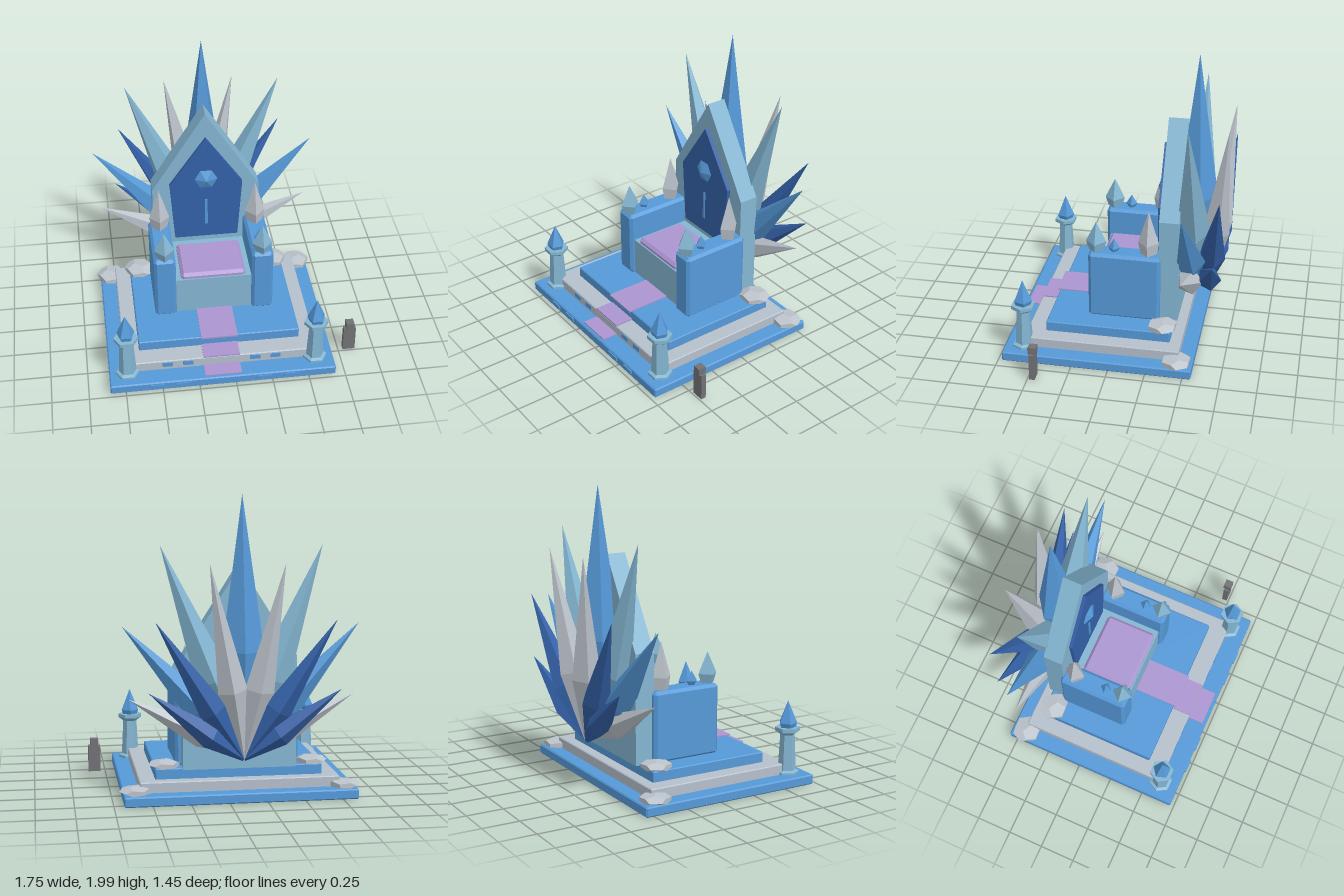
import * as THREE from 'three';
import { ConvexGeometry } from 'three/addons/geometries/ConvexGeometry.js';

const CX = -0.085; // symmetry plane of the throne

export function createModel() {
  const root = new THREE.Group();
  root.name = 'crystalThrone';

  const mat = (name, color) => {
    const m = new THREE.MeshStandardMaterial({ color });
    m.name = name;
    return m;
  };
  const blue = mat('iceBlue', 0x5599d8);
  const pale = mat('paleIce', 0x84b6d2);
  const navy = mat('deepBlue', 0x3461a8);
  const stone = mat('paleStone', 0xb5c0cc);
  const frost = mat('frostGrey', 0xbcc3cb);
  const lilac = mat('lilacCloth', 0xab96d0);
  const iron = mat('darkGrey', 0x727276);

  // Faceted normals for every part
  const flat = (g) => {
    const f = g.index ? g.toNonIndexed() : g;
    f.computeVertexNormals();
    return f;
  };
  const add = (name, geo, material, x = 0, y = 0, z = 0) => {
    const m = new THREE.Mesh(flat(geo), material);
    m.name = name;
    m.position.set(x, y, z);
    root.add(m);
    return m;
  };
  const box = (name, material, x0, x1, y0, y1, z0, z1) =>
    add(name, new THREE.BoxGeometry(x1 - x0, y1 - y0, z1 - z0), material,
      (x0 + x1) / 2, (y0 + y1) / 2, (z0 + z1) / 2);

  // Box with cut edges and corners
  const chamferBox = (name, material, c, x0, x1, y0, y1, z0, z1) => {
    const h = [(x1 - x0) / 2, (y1 - y0) / 2, (z1 - z0) / 2];
    const pts = [];
    for (const sx of [-1, 1]) for (const sy of [-1, 1]) for (const sz of [-1, 1])
      for (let k = 0; k < 3; k++) {
        const p = h.map((v, i) => (i === k ? v : v - c));
        pts.push(new THREE.Vector3(p[0] * sx, p[1] * sy, p[2] * sz));
      }
    return add(name, new ConvexGeometry(pts), material,
      (x0 + x1) / 2, (y0 + y1) / 2, (z0 + z1) / 2);
  };

  // Few-sided turned part from [radius, height] pairs
  const turned = (profile, sides, start = 0) =>
    new THREE.LatheGeometry(profile.map(([r, y]) => new THREE.Vector2(r, y)), sides, start);

  // Stepped platform
  chamferBox('platformLower', blue, 0.008, -0.855, 0.685, 0, 0.067, -0.557, 0.724);
  chamferBox('platformMiddle', stone, 0.006, -0.747, 0.577, 0.06, 0.137, -0.46, 0.594);
  chamferBox('platformUpper', blue, 0.006, -0.64, 0.47, 0.13, 0.207, -0.385, 0.464);

  // Carpet pieces on each step
  box('carpetUpper', lilac, -0.21, 0.04, 0.205, 0.216, 0.165, 0.483);
  box('carpetMiddle', lilac, -0.21, 0.04, 0.135, 0.146, 0.46, 0.594);
  box('carpetLower', lilac, -0.21, 0.04, 0.065, 0.076, 0.59, 0.702);

  // Inlaid bricks, throne parts and towers in mirrored pairs
  for (const s of [-1, 1]) {
    const side = s > 0 ? 'Left' : 'Right';
    const span = (a, b) => (s > 0 ? [CX + a, CX + b] : [CX - b, CX - a]);

    for (const [a, b] of [[0.225, 0.325], [0.41, 0.5]])
      box('lowerBrick' + side, blue, ...span(a, b), 0.026, 0.052, 0.72, 0.733);
    for (const [a, b] of [[0.195, 0.265], [0.335, 0.405]])
      box('middleBrick' + side, blue, ...span(a, b), 0.09, 0.122, 0.588, 0.599);

    // Armrest and its three finials
    chamferBox('armrest' + side, blue, 0.02, ...span(0.263, 0.413), 0.2, 0.68, -0.29, 0.2);
    const fx = CX + s * 0.338;
    add('frontFinial' + side, turned([[0, 0], [0.05, 0], [0.07, 0.065], [0, 0.21]], 4),
      pale, fx, 0.678, 0.155);
    add('smallFinial' + side, turned([[0, 0], [0.025, 0], [0.04, 0.028], [0, 0.095]], 4),
      blue, fx, 0.678, 0.033);
    add('backFinial' + side, turned([[0, 0], [0.055, 0], [0.07, 0.085], [0, 0.317]], 4),
      frost, fx, 0.678, -0.2);

    // Corner tower
    const tx = CX + s * 0.644;
    add('tower' + side, turned([[0, 0], [0.082, 0], [0.082, 0.018], [0.06, 0.028],
      [0.048, 0.27], [0.083, 0.295], [0.083, 0.32], [0, 0.32]], 6, Math.PI / 6),
      pale, tx, 0.065, 0.595);
    add('towerSpire' + side, turned([[0, 0], [0.05, 0], [0.063, 0.035], [0, 0.185]], 5, Math.PI),
      blue, tx, 0.38, 0.595);

    // Rubble on the rear corners
    for (const [dx, y, z] of [[0.69, 0.085, -0.45], [0.49, 0.225, -0.325]]) {
      const rock = add('rock' + side, new THREE.DodecahedronGeometry(0.108), frost, CX + s * dx, y, z);
      rock.scale.set(1, 0.3, 1);
      rock.rotation.y = 0.5 * s;
    }
  }

  // Seat and cushion
  box('seat', pale, -0.35, 0.18, 0.2, 0.482, -0.29, 0.17);
  chamferBox('cushion', lilac, 0.02, -0.31, 0.14, 0.46, 0.52, -0.205, 0.16);

  // Gabled outline symmetrical about the throne's middle
  const gable = (name, material, bottomHalf, y0, shoulderHalf, y1, apex, z0, z1) => {
    const shape = new THREE.Shape([[-bottomHalf, y0], [bottomHalf, y0], [shoulderHalf, y1],
      [0, apex], [-shoulderHalf, y1]].map(([x, y]) => new THREE.Vector2(x, y)));
    return add(name, new THREE.ExtrudeGeometry(shape, { depth: z1 - z0, bevelEnabled: false }),
      material, CX, 0, z0);
  };
  gable('backrest', pale, 0.375, 0.2, 0.375, 0.94, 1.535, -0.41, -0.275);
  gable('backPanel', navy, 0.223, 0.535, 0.255, 0.985, 1.355, -0.28, -0.25);
  box('panelStrip', blue, CX - 0.01, CX + 0.01, 0.645, 0.855, -0.252, -0.244);
  const gem = add('panelGem', turned([[0, -0.03], [0.08, 0], [0, 0.035]], 6, Math.PI / 6),
    blue, CX, 1.027, -0.246);
  gem.rotation.x = Math.PI / 2;

  // Crystal growing from a base point to a tip, widest part-way along
  const up = new THREE.Vector3(0, 1, 0);
  const crystal = (name, material, base, tip, r, wide = 0.36) => {
    const b = new THREE.Vector3(...base);
    const d = new THREE.Vector3(...tip).sub(b);
    const len = d.length();
    const m = add(name, turned([[0, 0], [r * 0.2, 0], [r, len * wide], [0, len]], 5, Math.PI),
      material, ...base);
    m.quaternion.setFromUnitVectors(up, d.normalize());
  };
  const front = [CX, 0.32, -0.475], rear = [CX, 0.3, -0.565];
  crystal('crystalCentre', blue, front, [CX, 1.99, -0.472], 0.145, 0.4);
  // name, colour, base, tip offset x, tip y, tip z, radius
  const pairs = [
    ['crystalTall', pale, front, 0.525, 1.67, -0.472, 0.125],
    ['crystalWide', blue, front, 0.77, 1.16, -0.472, 0.105],
    ['crystalLow', frost, front, 0.737, 0.69, -0.472, 0.09],
    ['rearCrystalTall', frost, rear, 0.24, 1.57, -0.705, 0.1],
    ['rearCrystalWide', navy, rear, 0.577, 1.21, -0.688, 0.095],
    ['rearCrystalLow', navy, rear, 0.62, 0.76, -0.66, 0.085],
  ];
  for (const [name, material, base, dx, y, z, r] of pairs)
    for (const s of [-1, 1])
      crystal(name + (s > 0 ? 'Left' : 'Right'), material, base, [CX + s * dx, y, z], r);

  // Small standing marker beside the platform
  box('markerBody', iron, 0.783, 0.868, 0, 0.186, 0.45, 0.487);
  box('markerHead', iron, 0.798, 0.853, 0.186, 0.236, 0.441, 0.496);

  return root;
}
